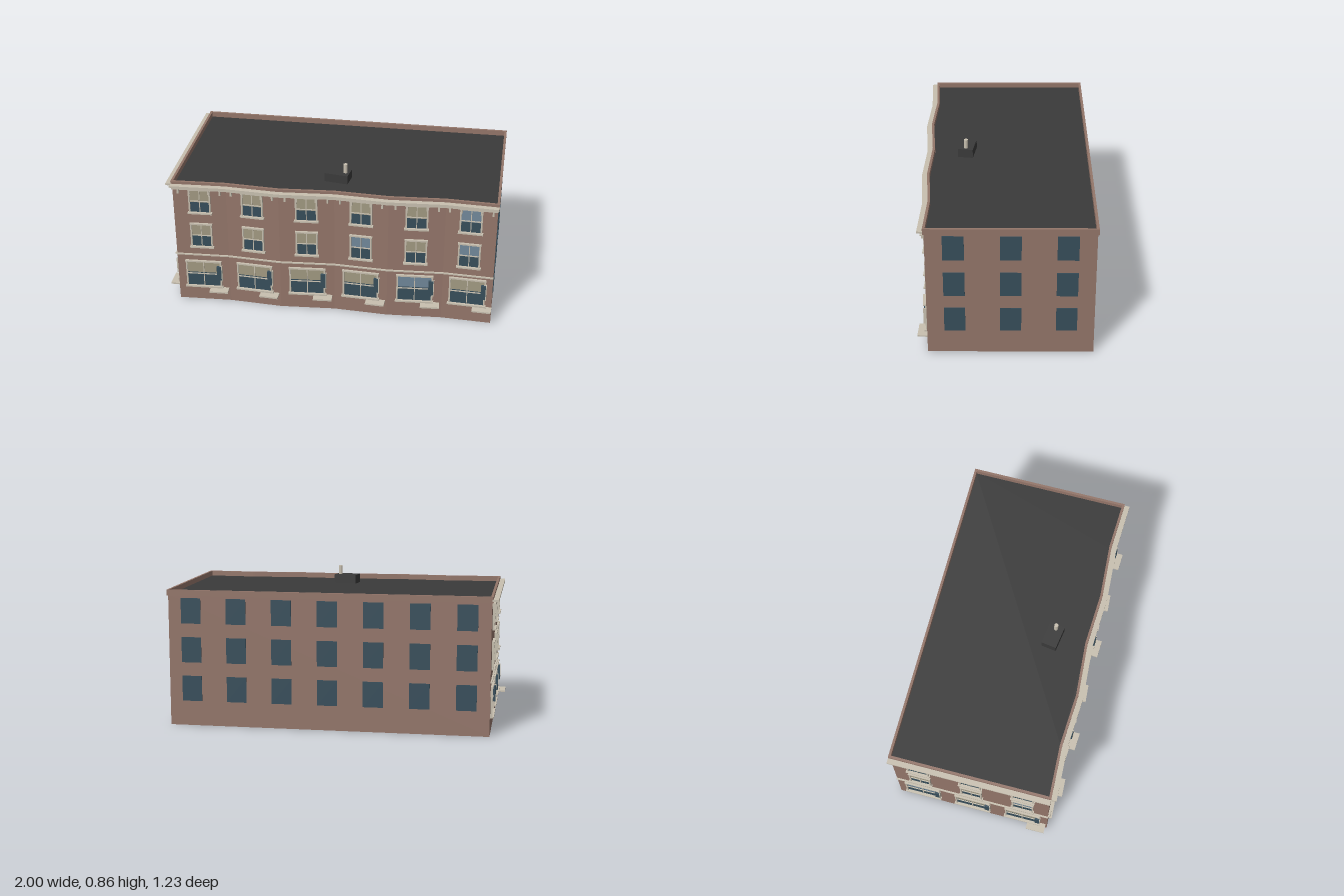
import * as THREE from 'three';

const mat = (name, color) => {
  const m = new THREE.MeshStandardMaterial({ color });
  m.name = name;
  return m;
};

export function createModel() {
  const brick = mat('brick', 0x94766a);
  const roofing = mat('roofing', 0x3a3a3a);
  const trim = mat('cream trim', 0xc8c0b0);
  const glass = mat('dark glass', 0x374e5b);
  const blind = mat('window blind', 0xa29a82);
  const sky = mat('pale glass', 0x71889a);

  const model = new THREE.Group();
  model.name = 'building';

  // Footprint as [x, z], walked front-left, front-right, back-right, back-left
  const front = [[-0.83, 0.575], [-0.53, 0.515], [-0.225, 0.487], [0.083, 0.418],
    [0.39, 0.387], [0.70, 0.32], [0.985, 0.29]];
  const backRight = [0.853, -0.612], backLeft = [-0.965, -0.332];
  const outline = [...front, backRight, backLeft];
  const ROOF = 0.76, TOP = 0.79;

  const box = (parent, name, material, w, h, d, x, y, z) => {
    const mesh = new THREE.Mesh(new THREE.BoxGeometry(w, h, d), material);
    mesh.name = name;
    mesh.position.set(x, y, z);
    parent.add(mesh);
    return mesh;
  };

  // Group whose local x runs along a wall and whose local z points outward
  const onWall = (name, a, b, t = 0.5) => {
    const g = new THREE.Group();
    g.name = name;
    g.position.set(a[0] + (b[0] - a[0]) * t, 0, a[1] + (b[1] - a[1]) * t);
    g.rotation.y = -Math.atan2(b[1] - a[1], b[0] - a[0]);
    g.userData.length = Math.hypot(b[0] - a[0], b[1] - a[1]);
    model.add(g);
    return g;
  };

  // Main block: brick sides, dark roof and underside
  const shape = new THREE.Shape(outline.map(([x, z]) => new THREE.Vector2(x, -z)));
  const body = new THREE.ExtrudeGeometry(shape, { depth: ROOF, bevelEnabled: false });
  body.rotateX(-Math.PI / 2);
  const walls = new THREE.Mesh(body, [roofing, brick]);
  walls.name = 'walls and roof';
  model.add(walls);

  // Parapet around the whole roof
  outline.forEach((a, i) => {
    const wall = onWall('parapet', a, outline[(i + 1) % outline.length]);
    box(wall, 'parapetWall', brick, wall.userData.length + 0.01, TOP - 0.755, 0.014,
      0, (TOP + 0.755) / 2, 0);
  });

  // Trimmed sash window: upper pane is a blind or pale glass
  function sashWindow(g, w, y0, y1, upper, split = 0.5) {
    const h = y1 - y0, mid = y0 + h * split, cy = (y0 + y1) / 2, f = 0.009;
    box(g, 'lowerPane', glass, w, mid - y0, 0.004, 0, (y0 + mid) / 2, 0.002);
    box(g, 'upperPane', upper, w, y1 - mid, 0.004, 0, (mid + y1) / 2, 0.002);
    for (const s of [-1, 1]) box(g, 'windowJamb', trim, f, h, 0.012, s * w / 2, cy, 0.006);
    box(g, 'mullion', trim, 0.005, h, 0.006, 0, cy, 0.005);
    box(g, 'meetingRail', trim, w, 0.005, 0.008, 0, y0 + h * 0.5, 0.005);
    box(g, 'windowHead', trim, w + 0.014, 0.009, 0.014, 0, y1, 0.007);
    box(g, 'windowSill', trim, w + 0.022, 0.009, 0.02, 0, y0, 0.01);
  }

  // One decorated bay: a wide ground window, two upper windows and brackets
  function bay(a, b, t, panes, ground, ledge) {
    const g = onWall('bay', a, b, t);
    sashWindow(g, 0.2, ground, ground + 0.17, panes[0], 0.55);
    sashWindow(g, 0.118, 0.367, 0.518, panes[1], 0.48);
    sashWindow(g, 0.118, 0.593, 0.743, panes[2], 0.45);
    // Projecting side panel
    box(g, 'sidePanel', glass, 0.028, 0.09, 0.016, 0.093, ground + 0.097, 0.012);
    box(g, 'sidePanelEdge', trim, 0.005, 0.1, 0.02, 0.109, ground + 0.097, 0.012);
    if (ledge) box(g, 'ledge', trim, 0.11, 0.009, 0.055, 0.09, ground - 0.012, 0.0275);
    for (const x of [-0.12, -0.055, 0.055, 0.12]) {
      box(g, 'bracket', trim, 0.01, 0.03, 0.016, x, 0.732, 0.008);
    }
  }

  // Cornice layers and string course on a decorated wall
  function mouldings(a, b) {
    const g = onWall('mouldings', a, b);
    const L = g.userData.length;
    box(g, 'cornice', trim, L + 0.014, 0.012, 0.037, 0, 0.768, 0.0185);
    box(g, 'lowerCornice', trim, L + 0.006, 0.008, 0.02, 0, 0.749, 0.01);
    box(g, 'stringCourse', trim, L + 0.004, 0.007, 0.01, 0, 0.309, 0.005);
  }

  // Front facade: six shallow folded bays
  const frontPanes = [
    [blind, blind, blind], [blind, blind, blind], [blind, blind, blind],
    [blind, sky, blind], [sky, blind, blind], [blind, sky, sky],
  ];
  frontPanes.forEach((panes, i) => {
    bay(front[i], front[i + 1], 0.5, panes, 0.095 + i * 0.004, true);
    mouldings(front[i], front[i + 1]);
  });

  // Side facade with three matching bays
  const sidePanes = [[sky, blind, blind], [blind, blind, sky], [blind, sky, blind]];
  sidePanes.forEach((panes, i) => {
    bay(backLeft, front[0], (i + 0.5) / 3, panes, 0.1, i === 2);
  });
  mouldings(backLeft, front[0]);

  // Plain windows on the other side and the back
  function plainWindows(a, b, count) {
    for (let i = 0; i < count; i++) {
      const g = onWall('plainWindows', a, b, (i + 0.5) / count);
      for (const y of [0.218, 0.444, 0.67]) {
        box(g, 'plainWindow', glass, 0.115, 0.147, 0.004, 0, y, 0.002);
      }
    }
  }
  plainWindows(front[6], backRight, 3);
  plainWindows(backRight, backLeft, 7);

  // Roof box with vent pipe
  box(model, 'roofBox', roofing, 0.135, 0.055, 0.088, 0.047, 0.784, 0.226);
  const pipe = new THREE.Mesh(new THREE.CylinderGeometry(0.012, 0.012, 0.06, 12), trim);
  pipe.name = 'ventPipe';
  pipe.position.set(0.09, 0.834, 0.226);
  model.add(pipe);

  return model;
}
